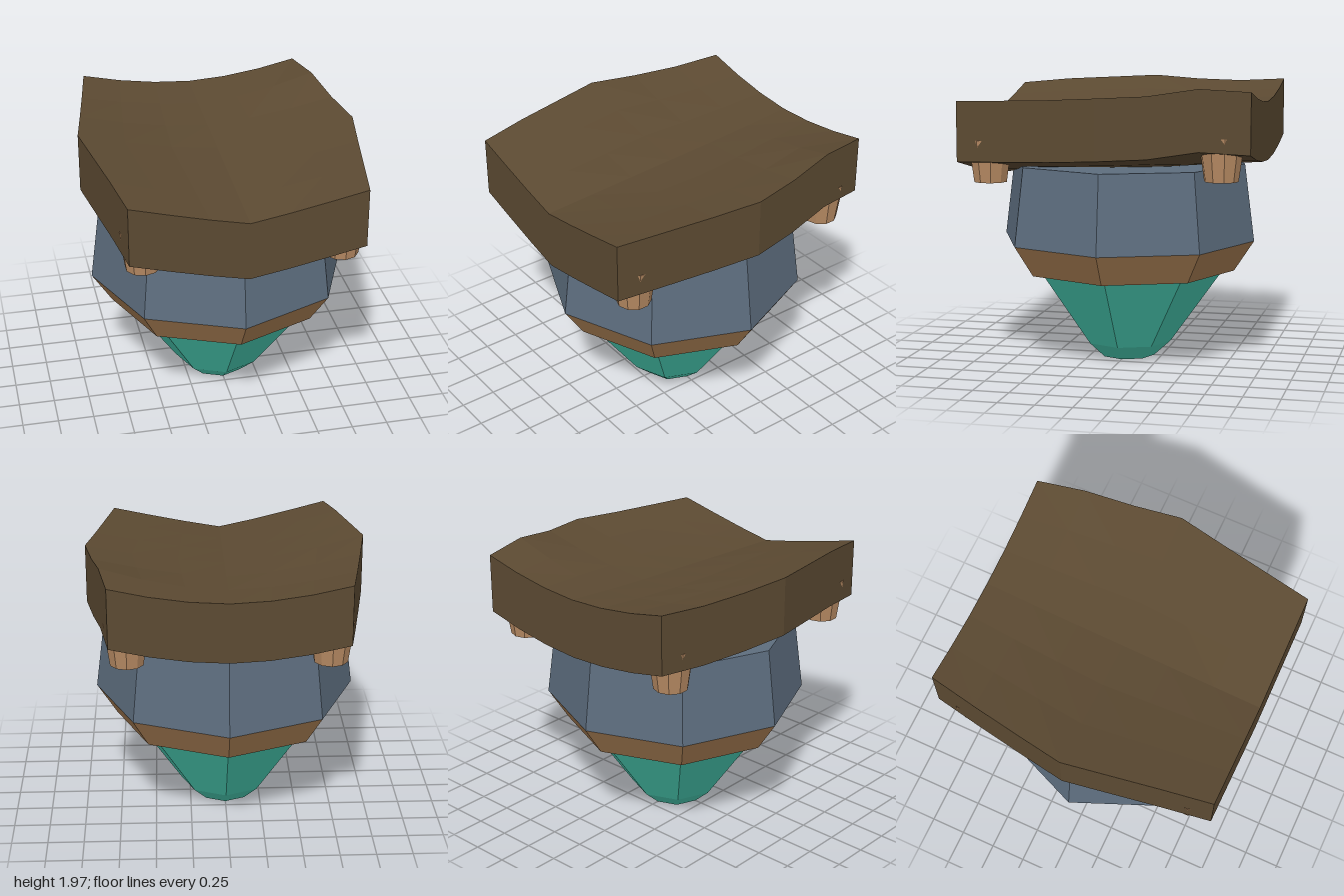
import * as THREE from 'three';

const mat = (name, color) => {
  const m = new THREE.MeshStandardMaterial({ color, flatShading: true });
  m.name = name;
  return m;
};

export function createModel() {
  const group = new THREE.Group();
  const slate = mat('slateBlue', 0x5d6d7e);
  const wood = mat('wood', 0xa67c52);
  const teal = mat('teal', 0x48c9b0);
  const darkWood = mat('darkWood', 0x5c4a32);
  const pegWood = mat('pegWood', 0xb98c64);

  // Tapered prism standing between heights y0 and y1
  const frustum = (name, material, y0, r0, y1, r1, sides, x = 0, z = 0) => {
    const mesh = new THREE.Mesh(new THREE.CylinderGeometry(r1, r0, y1 - y0, sides), material);
    mesh.position.set(x, (y0 + y1) / 2, z);
    mesh.name = name;
    group.add(mesh);
  };

  // Octagonal body, stacked from the tip upwards
  frustum('gemTip', teal, 0, 0.195, 0.11, 0.315, 8);
  frustum('gem', teal, 0.11, 0.315, 0.64, 0.69, 8);
  frustum('collar', wood, 0.64, 0.77, 0.855, 0.91, 8);
  frustum('body', slate, 0.855, 0.91, 1.4, 0.84, 8);

  // Warped roof slab: top heights along three lines, from back to front
  const left = [1.95, 1.93, 1.935, 1.955, 1.94, 1.925, 1.895];
  const centre = [1.84, 1.81, 1.785, 1.765, 1.745, 1.725, 1.705];
  const right = [1.95, 1.97, 1.92, 1.905, 1.885, 1.872, 1.86];
  const thickness = 0.41;
  const geo = new THREE.BoxGeometry(2, thickness, 2, 6, 1, 6);
  const p = geo.attributes.position;
  for (let i = 0; i < p.count; i++) {
    const u = p.getX(i), z = p.getZ(i);
    const row = Math.round((z + 1) * 3);
    const edge = u < 0 ? left[row] : right[row];
    const sag = Math.pow(Math.abs(u), 1.45 - 0.35 * z);
    const top = centre[row] + (edge - centre[row]) * sag;
    p.setX(i, u * (0.96 - 0.175 * Math.abs(z)));
    p.setY(i, p.getY(i) > 0 ? top : top - thickness);
  }
  geo.computeVertexNormals();
  const roof = new THREE.Mesh(geo, darkWood);
  roof.name = 'roofSlab';
  group.add(roof);

  // Flared pegs under the corners; their rims just break through the slab sides
  const pegs = [
    ['pegFrontLeft', 0.67, 0.8, 1.31],
    ['pegFrontRight', -0.67, 0.8, 1.355],
    ['pegBackLeft', 0.67, -0.79, 1.355],
    ['pegBackRight', -0.67, -0.79, 1.355],
  ];
  for (const [name, x, z, y] of pegs) {
    frustum(name, pegWood, y, 0.115, y + 0.29, 0.156, 10, x, z);
  }
  return group;
}
